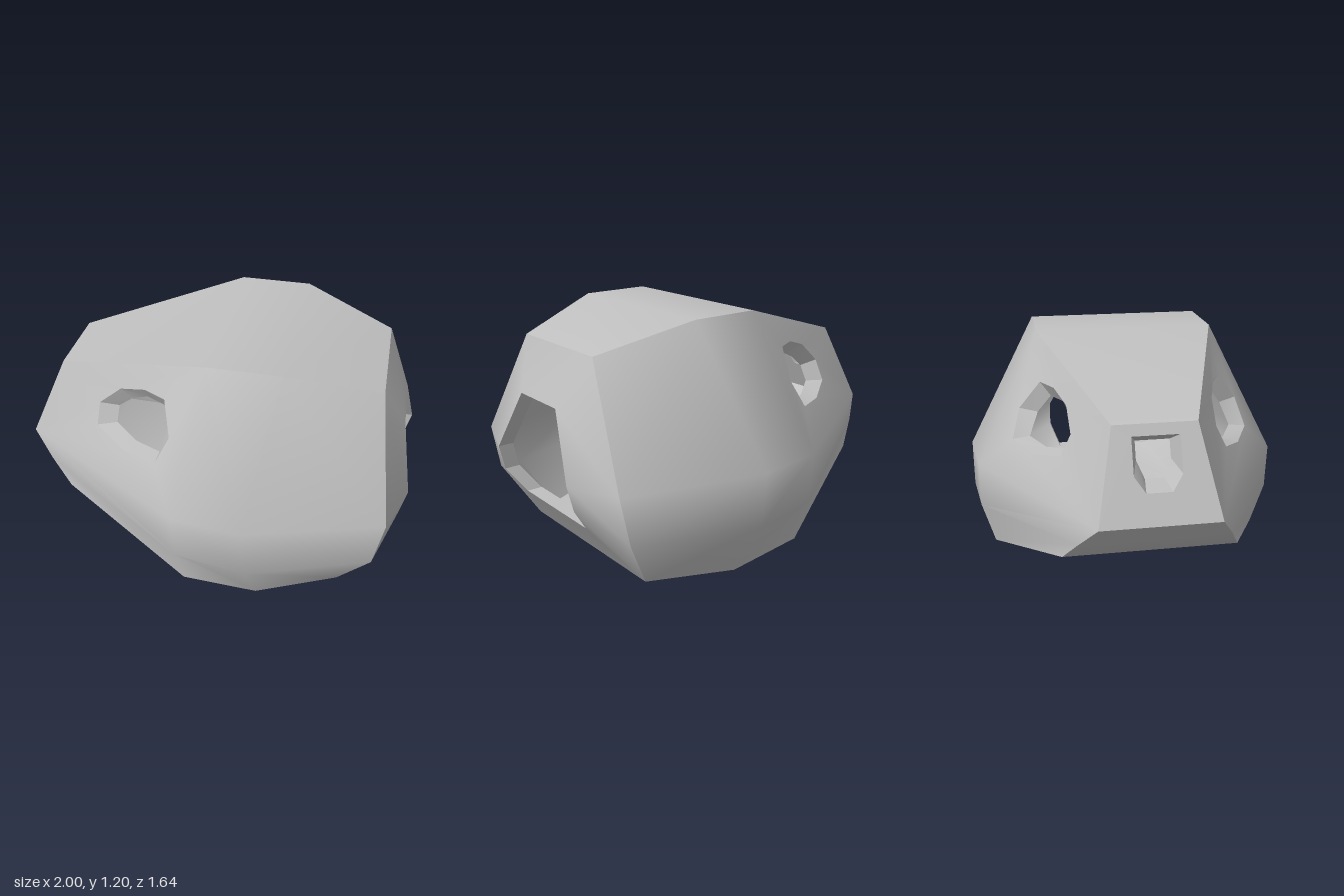
import * as THREE from 'three';
import { toCreasedNormals } from 'three/addons/utils/BufferGeometryUtils.js';

const V = (x, y, z) => new THREE.Vector3(x, y, z);
const CENTRE = V(0.05, 0.56, 0);
const INNER = 0.9;

// Hull edges from nose to tail on the +z side: top, middle, low, bottom
const EDGES = [
  [V(-0.82, 0.96, 0.195), V(0, 1.2, 0.455), V(0.36, 1.2, 0.455), V(0.82, 1.07, 0.3)],
  [V(-1, 0.545, 0.28), V(-0.11, 0.53, 0.785), V(0.235, 0.53, 0.82), V(0.905, 0.52, 0.61)],
  [V(-0.89, 0.43, 0.355), V(-0.09, 0.29, 0.785), V(0.26, 0.27, 0.82), V(0.86, 0.28, 0.62)],
  [V(-0.77, 0.31, 0.42), V(-0.07, 0.065, 0.72), V(0.3, 0, 0.68), V(0.7, 0, 0.5)],
];
// Corners of the tail opening, same order
const TAIL = [V(0.94, 0.82, 0.16), V(1, 0.51, 0.33), V(0.97, 0.38, 0.335), V(0.88, 0.25, 0.28)];

// Window outlines as x, y
const WINDOW_OUT = [[-0.585, 0.735], [-0.58, 0.84], [-0.46, 0.945], [-0.32, 0.99],
  [-0.205, 0.99], [-0.16, 0.845], [-0.23, 0.705], [-0.42, 0.69]];
const WINDOW_IN = [[-0.49, 0.74], [-0.485, 0.82], [-0.41, 0.88], [-0.32, 0.92],
  [-0.22, 0.92], [-0.19, 0.83], [-0.225, 0.715], [-0.37, 0.705]];
// Nose opening outlines as z, y
const NOSE_OUT = [[0.11, 0.91], [0.11, 0.75], [0.06, 0.68], [-0.06, 0.68], [-0.11, 0.75], [-0.11, 0.91]];
const NOSE_IN = [[0.08, 0.86], [0.08, 0.78], [0.045, 0.7], [-0.045, 0.7], [-0.08, 0.78], [-0.08, 0.86]];

const mirror = (p, s) => V(p.x, p.y, p.z * s);
const shrink = (p) => p.clone().sub(CENTRE).multiplyScalar(INNER).add(CENTRE);
const grow = (p) => p.clone().sub(CENTRE).divideScalar(INNER).add(CENTRE);

// Points on the outer side panel and on the nose plane
function onSide(x, y) {
  const u = (x + 0.9) / 0.9;
  const v = (y - 0.54) / (0.4 + 0.25 * u);
  return V(x, y, 0.18 + (x + 0.82) * 0.56 - (y - 0.96) * 0.448 - 0.09 * u * v);
}
const onNose = (z, y) => V(-0.82 - (0.96 - y) * 0.434, y, z);

// The same on the inner skin, keeping the visible coordinates
function innerSide(x, y) {
  const g = grow(V(x, y, 0));
  return shrink(onSide(g.x, g.y));
}
function innerNose(z, y) {
  const g = grow(V(0, y, z));
  return shrink(onNose(g.z, g.y));
}

// Collects triangles, turning each one away from (sign 1) or towards (sign -1) a point
class Skin {
  constructor(point, sign) {
    this.point = point;
    this.sign = sign;
    this.data = [];
  }
  tri(a, b, c) {
    const n = b.clone().sub(a).cross(c.clone().sub(a));
    const mid = a.clone().add(b).add(c).divideScalar(3).sub(this.point);
    const order = n.dot(mid) * this.sign >= 0 ? [a, b, c] : [a, c, b];
    order.forEach((p) => this.data.push(p.x, p.y, p.z));
  }
  quad(a, b, c, d) {
    this.tri(a, b, c);
    this.tri(a, c, d);
  }
  // Loft between two closed loops
  band(loopA, loopB) {
    loopA.forEach((p, i) => {
      const j = (i + 1) % loopA.length;
      this.quad(p, loopA[j], loopB[j], loopB[i]);
    });
  }
  // Panel with one hole, triangulated flat along the given axis
  panel(contour, hole, axis) {
    const flat = (p) => new THREE.Vector2(p[axis], p.y);
    const all = [...contour, ...hole];
    const faces = THREE.ShapeUtils.triangulateShape(contour.map(flat), [hole.map(flat)]);
    faces.forEach(([a, b, c]) => this.tri(all[a], all[b], all[c]));
  }
  mesh(name, material, crease) {
    const geometry = new THREE.BufferGeometry();
    geometry.setAttribute('position', new THREE.Float32BufferAttribute(this.data, 3));
    const mesh = new THREE.Mesh(toCreasedNormals(geometry, crease), material);
    mesh.name = name;
    return mesh;
  }
}

const ring = (half) => [...half, ...half.map((p) => mirror(p, -1)).reverse()];

// One complete skin of the hull with its four openings
function buildHull(edges, windowLoop, noseLoop, tailLoop, sign) {
  const skin = new Skin(CENTRE, sign);
  for (const s of [1, -1]) {
    const e = edges.map((edge) => edge.map((p) => mirror(p, s)));
    for (let row = 0; row < 3; row++) {
      for (let i = 0; i < 3; i++) {
        const corners = [e[row][i], e[row + 1][i], e[row + 1][i + 1], e[row][i + 1]];
        if (row === 0 && i === 0) skin.panel(corners, windowLoop.map((p) => mirror(p, s)), 'x');
        else skin.quad(...corners);
      }
    }
  }
  // Roof and floor
  for (const row of [0, 3]) {
    for (let i = 0; i < 3; i++) {
      const a = edges[row][i];
      const b = edges[row][i + 1];
      skin.quad(a, b, mirror(b, -1), mirror(a, -1));
    }
  }
  // Nose face and chin
  const nose = edges.map((edge) => edge[0]);
  skin.panel(ring([nose[0], nose[1]]), noseLoop, 'z');
  for (const row of [1, 2]) {
    skin.quad(nose[row], nose[row + 1], mirror(nose[row + 1], -1), mirror(nose[row], -1));
  }
  // Tail cone around the large opening
  skin.band(ring(edges.map((edge) => edge[3])), tailLoop);
  return skin;
}

// Reveal joining the outer and inner outlines of an opening
function buildFrame(outer, inner) {
  const middle = V(0, 0, 0);
  [...outer, ...inner].forEach((p) => middle.add(p));
  middle.divideScalar(outer.length * 2);
  const skin = new Skin(middle, -1);
  skin.band(outer, inner);
  return skin;
}

export function createModel() {
  const group = new THREE.Group();
  group.name = 'hollowPod';
  const grey = new THREE.MeshStandardMaterial({ color: 0xc0c0c0, side: THREE.DoubleSide });
  grey.name = 'grey';

  const windowOut = WINDOW_OUT.map(([x, y]) => onSide(x, y));
  const windowIn = WINDOW_IN.map(([x, y]) => innerSide(x, y));
  const noseOut = NOSE_OUT.map(([z, y]) => onNose(z, y));
  const noseIn = NOSE_IN.map(([z, y]) => innerNose(z, y));
  const tailOut = ring(TAIL);
  const tailIn = tailOut.map((p) => V(p.x - 0.08, p.y, p.z));
  const innerEdges = EDGES.map((edge) => edge.map(shrink));

  group.add(buildHull(EDGES, windowOut, noseOut, tailOut, 1).mesh('outerShell', grey, 0.7));
  group.add(buildHull(innerEdges, windowIn, noseIn, tailIn, -1).mesh('innerShell', grey, 0.7));

  for (const [name, s] of [['frontWindowFrame', 1], ['backWindowFrame', -1]]) {
    const flip = (p) => mirror(p, s);
    group.add(buildFrame(windowOut.map(flip), windowIn.map(flip)).mesh(name, grey, 0.3));
  }
  group.add(buildFrame(noseOut, noseIn).mesh('noseFrame', grey, 0.3));
  group.add(buildFrame(tailOut, tailIn).mesh('tailFrame', grey, 0.3));
  return group;
}
